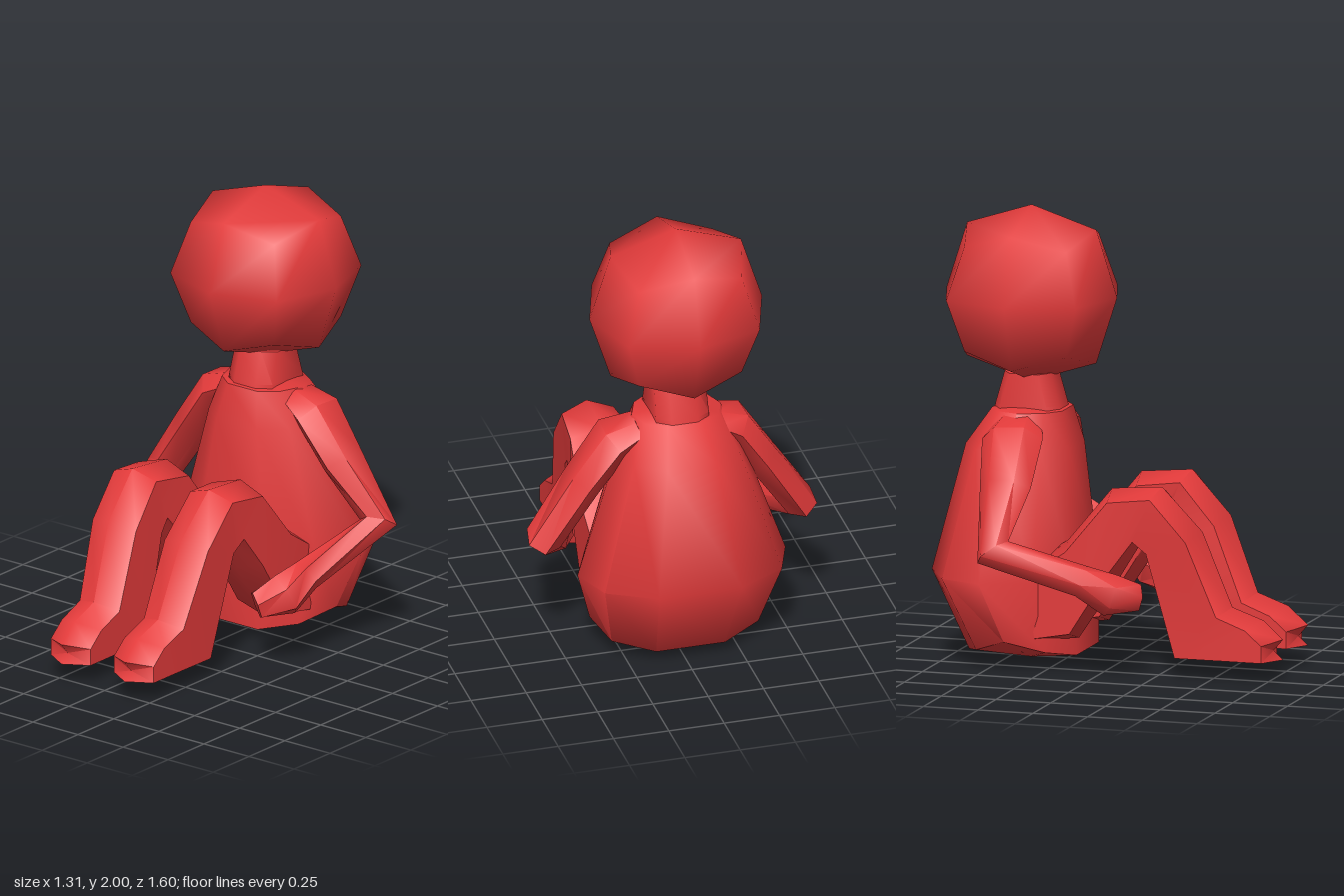
import * as THREE from 'three';
import { mergeVertices, toCreasedNormals } from 'three/addons/utils/BufferGeometryUtils.js';

const V = (x, y, z) => new THREE.Vector3(x, y, z);
const AXIS = -0.025; // centre line of the body in x
const red = new THREE.MeshStandardMaterial({ color: 0xe23a3a });

// Skin a list of closed rings and cap both ends (end caps fan from the given or mean point)
function loft(rings, startTip, endTip) {
  const n = rings[0].length, pts = rings.flat(), idx = [];
  const mean = r => r.reduce((a, p) => a.add(p), V(0, 0, 0)).divideScalar(n);
  const last = (rings.length - 1) * n, s = pts.length, e = s + 1;
  pts.push(startTip || mean(rings[0]), endTip || mean(rings[rings.length - 1]));
  for (let i = 0; i < n; i++) {
    const j = (i + 1) % n;
    for (let k = 0; k < last; k += n) {
      idx.push(k + i, k + j, k + n + j, k + i, k + n + j, k + n + i);
    }
    idx.push(s, j, i, e, last + i, last + j);
  }
  // turn the faces outward when the enclosed volume is negative
  let volume = 0;
  for (let i = 0; i < idx.length; i += 3) {
    volume += pts[idx[i]].dot(V(0, 0, 0).crossVectors(pts[idx[i + 1]], pts[idx[i + 2]]));
  }
  if (volume < 0) idx.reverse();
  const g = new THREE.BufferGeometry().setFromPoints(pts);
  g.setIndex(idx);
  return toCreasedNormals(g, 1.0);
}

function part(name, geometry) {
  const m = new THREE.Mesh(geometry, red);
  m.name = name;
  return m;
}

// Faceted ball: a cube split in two per side, each kind of vertex pushed to its own distance
function headGeometry() {
  let g = new THREE.BoxGeometry(2, 2, 2, 2, 2, 2);
  g.deleteAttribute('uv');
  g.deleteAttribute('normal');
  g = mergeVertices(g);
  const reach = [0, 0.39, 0.295, 0.232]; // face centre, edge middle, corner
  const p = g.attributes.position;
  for (let i = 0; i < p.count; i++) {
    const v = V(0, 0, 0).fromBufferAttribute(p, i).round();
    const kind = Math.abs(v.x) + Math.abs(v.y) + Math.abs(v.z);
    v.multiplyScalar(reach[kind]);
    p.setXYZ(i, v.x, v.y, v.z);
  }
  g.computeVertexNormals();
  g.translate(AXIS, 1.61, -0.405);
  return g;
}

// Ten-sided body ring; lift raises the sides above the front and back
function bodyRing([y, halfWidth, back, front, lift = 0]) {
  const half = [[0.4, -1], [0.85, -0.64], [1, -0.05], [0.8, 0.62], [0.4, 1]];
  const all = [...half, ...half.map(([u, v]) => [-u, v]).reverse()];
  return all.map(([u, v]) => V(
    AXIS + u * halfWidth,
    y + lift * (1 - Math.abs(v)),
    (front + back) / 2 + v * (front - back) / 2
  ));
}

// Leg sections: x centre, half width, then (z, y) of top ridge, top side, low side, low ridge
const LEG = [
  [0.215, 0.13, -0.35, 0.45, -0.34, 0.41, -0.28, 0.15, -0.28, 0.12],
  [0.210, 0.14, -0.17, 0.57, -0.14, 0.54, -0.12, 0.18, -0.12, 0.14],
  [0.205, 0.14, 0.03, 0.81, 0.05, 0.77, 0.05, 0.45, 0.06, 0.41],
  [0.212, 0.117, 0.26, 0.83, 0.24, 0.79, 0.16, 0.60, 0.16, 0.57],
  [0.200, 0.12, 0.44, 0.64, 0.40, 0.61, 0.22, 0.55, 0.19, 0.54],
  [0.178, 0.11, 0.57, 0.31, 0.53, 0.28, 0.34, 0.09, 0.30, 0.09],
  [0.175, 0.11, 0.71, 0.26, 0.66, 0.23, 0.60, 0.09, 0.60, 0.09],
  [0.175, 0.11, 0.80, 0.18, 0.735, 0.165, 0.735, 0.09, 0.80, 0.09],
];

function legGeometry(side) {
  return loft(LEG.map(([cx, w, z0, y0, z1, y1, z2, y2, z3, y3]) => {
    const x = AXIS + side * cx;
    return [V(x, y0, z0), V(x + w, y1, z1), V(x + w, y2, z2),
      V(x, y3, z3), V(x - w, y2, z2), V(x - w, y1, z1)];
  }));
}

// Arm stations: x, y, z, depth radius, thickness radius
const LEFT_ARM = [
  [0.15, 1.06, -0.42, 0.10, 0.05],
  [0.26, 1.01, -0.41, 0.13, 0.08],
  [0.40, 0.82, -0.41, 0.11, 0.075],
  [0.58, 0.57, -0.43, 0.08, 0.075],
  [0.46, 0.40, -0.08, 0.07, 0.065],
  [0.42, 0.33, 0.02, 0.09, 0.09],
  [0.34, 0.29, 0.12, 0.06, 0.06],
];
const RIGHT_ARM = [
  [-0.17, 1.06, -0.42, 0.10, 0.05],
  [-0.28, 1.01, -0.41, 0.13, 0.08],
  [-0.41, 0.82, -0.40, 0.11, 0.075],
  [-0.585, 0.565, -0.40, 0.08, 0.07],
  [-0.48, 0.44, -0.03, 0.07, 0.065],
  [-0.45, 0.38, 0.09, 0.09, 0.085],
  [-0.37, 0.36, 0.19, 0.06, 0.06],
];

// Six-sided tube whose sections keep one axis turned toward z
function armGeometry(stations) {
  const c = stations.map(([x, y, z]) => V(x, y, z));
  return loft(stations.map(([, , , deep, thick], i) => {
    const into = c[i].clone().sub(c[Math.max(i - 1, 0)]).normalize();
    const out = c[Math.min(i + 1, c.length - 1)].clone().sub(c[i]).normalize();
    const t = into.add(out).normalize();
    const a = V(0, 0, 1).addScaledVector(t, -t.z).normalize();
    const b = V(0, 0, 0).crossVectors(t, a);
    return Array.from({ length: 6 }, (_, k) => {
      const q = (k + 0.5) * Math.PI / 3;
      return c[i].clone()
        .addScaledVector(a, Math.sin(q) * deep * 1.05)
        .addScaledVector(b, Math.cos(q) * thick * 1.1);
    });
  }));
}

export function createModel() {
  const model = new THREE.Group();
  model.name = 'seatedFigure';

  model.add(part('head', headGeometry()));

  // Neck, slightly wider front to back at its base
  const neckRing = (y, w, back, front) => [
    [-w, back + 0.04], [-w * 0.5, back], [w * 0.5, back], [w, back + 0.04],
    [w, front - 0.04], [w * 0.5, front], [-w * 0.5, front], [-w, front - 0.04],
  ].map(([x, z]) => V(AXIS + x, y, z));
  model.add(part('neck', loft([
    neckRing(1.08, 0.12, -0.56, -0.25),
    neckRing(1.13, 0.12, -0.55, -0.26),
    neckRing(1.27, 0.115, -0.51, -0.30),
  ])));

  // Pear-shaped torso with a shallow pointed underside
  model.add(part('torso', loft([
    [0.05, 0.39, -0.64, -0.15, 0.09],
    [0.40, 0.47, -0.80, -0.16],
    [0.95, 0.28, -0.67, -0.20],
    [1.11, 0.20, -0.56, -0.24],
  ].map(bodyRing), V(AXIS, 0, -0.41), V(AXIS, 1.14, -0.4))));

  model.add(part('leftLeg', legGeometry(1)), part('rightLeg', legGeometry(-1)));
  model.add(part('leftArm', armGeometry(LEFT_ARM)), part('rightArm', armGeometry(RIGHT_ARM)));
  return model;
}
